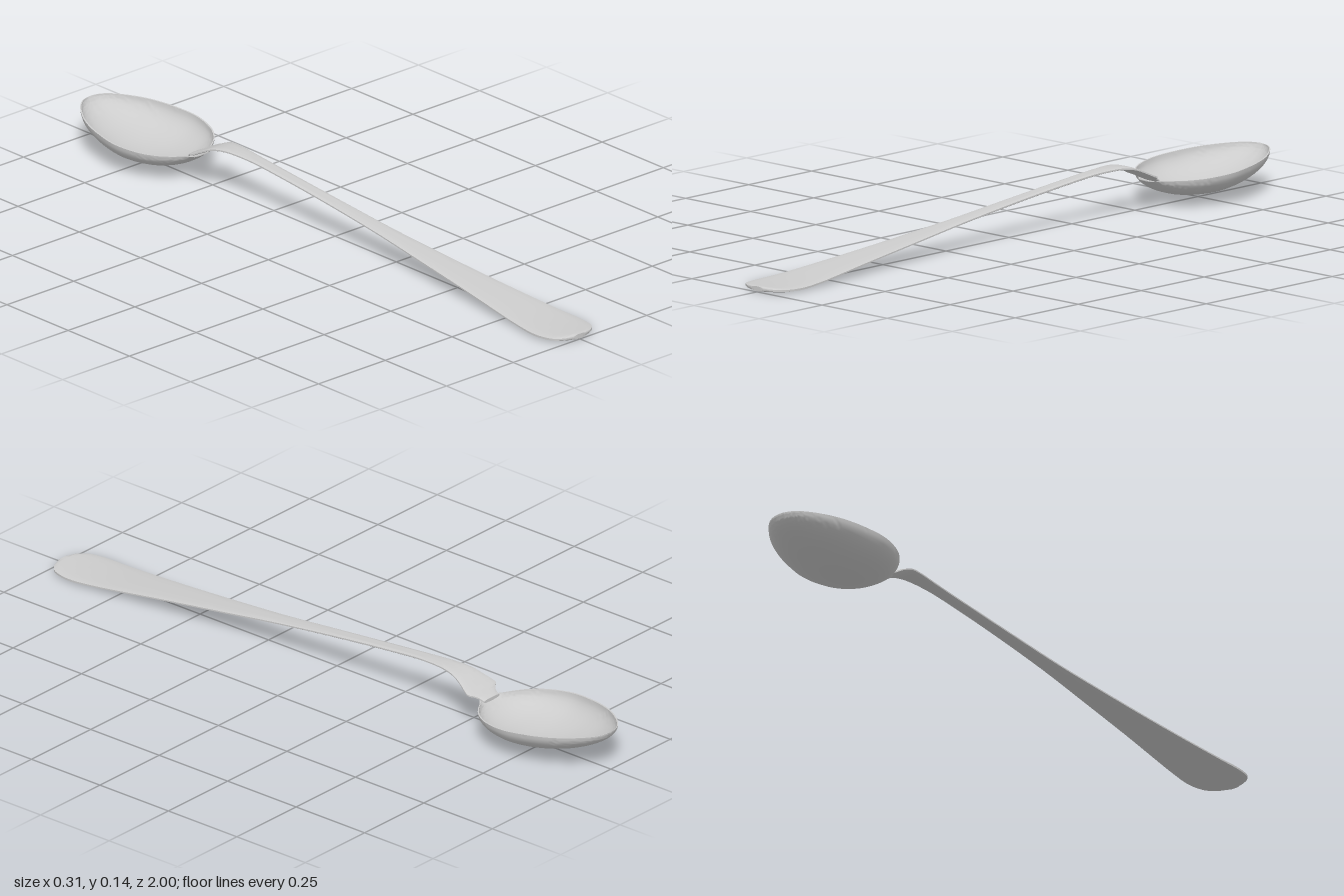
import * as THREE from 'three';
import { toCreasedNormals } from 'three/addons/utils/BufferGeometryUtils.js';

const material = new THREE.MeshStandardMaterial({ color: 0xcccccc, side: THREE.DoubleSide });

// Smooths a list of [width, height, z] stations into many
function smoothStations(list, count) {
  const curve = new THREE.CatmullRomCurve3(list.map((p) => new THREE.Vector3(...p)), false, 'centripetal');
  return curve.getPoints(count);
}

// Skins closed loops (counter-clockwise from the front, ordered front to back) and caps both ends
function loft(loops, creaseAngle) {
  const n = loops[0].length;
  const positions = loops.flat(2);
  const index = [];
  for (let i = 0; i < loops.length - 1; i++) {
    for (let j = 0; j < n; j++) {
      const k = (j + 1) % n;
      const a = i * n + j, b = i * n + k, c = a + n, d = b + n;
      index.push(a, c, b, b, c, d);
    }
  }
  const last = (loops.length - 1) * n;
  for (let j = 0; j < n / 2 - 1; j++) {
    const p = j, q = j + 1, r = n - 1 - j, s = n - 2 - j;
    index.push(p, q, r, q, s, r);
    index.push(last + p, last + r, last + q, last + q, last + r, last + s);
  }
  const geometry = new THREE.BufferGeometry();
  geometry.setAttribute('position', new THREE.Float32BufferAttribute(positions, 3));
  geometry.setIndex(index);
  return toCreasedNormals(geometry, creaseAngle);
}

// Handle: a thin bar that flares at the tip and at the shoulders
function handleGeometry() {
  const stations = smoothStations([
    [0.02, 0.011, 1.0], [0.05, 0.011, 0.99], [0.072, 0.01, 0.97], [0.082, 0.009, 0.94],
    [0.086, 0.009, 0.9], [0.081, 0.013, 0.83], [0.058, 0.036, 0.6], [0.042, 0.057, 0.4],
    [0.028, 0.079, 0.2], [0.022, 0.101, 0], [0.02, 0.121, -0.2], [0.022, 0.132, -0.33],
    [0.031, 0.134, -0.42], [0.04, 0.127, -0.465], [0.051, 0.112, -0.5], [0.058, 0.102, -0.52],
    [0.058, 0.098, -0.53], [0.045, 0.093, -0.54], [0.036, 0.087, -0.55], [0.032, 0.08, -0.565],
  ], 120);
  const sides = 20;
  const loops = stations.map(({ x: w, y, z }) => {
    const half = z > 0.8 ? 0.005 + 0.002 * Math.min(1, (z - 0.8) * 10) : 0.005;
    return Array.from({ length: sides }, (_, j) => {
      const a = ((j + 0.5) / sides) * Math.PI * 2;
      const s = Math.sin(a);
      return [w * Math.cos(a), y + half * Math.sign(s) * Math.sqrt(Math.abs(s)), z];
    });
  });
  return loft(loops, 0.7);
}

// Bowl: an egg-shaped thin shell with a slanted rim; heights here are the keel line
function bowlGeometry() {
  const stations = smoothStations([
    [0.03, 0.076, -0.545], [0.045, 0.065, -0.56], [0.075, 0.051, -0.58], [0.104, 0.038, -0.605],
    [0.132, 0.026, -0.645], [0.148, 0.02, -0.69], [0.155, 0.018, -0.74], [0.148, 0.023, -0.8],
    [0.136, 0.033, -0.85], [0.116, 0.047, -0.9], [0.083, 0.068, -0.95], [0.054, 0.086, -0.98],
    [0.03, 0.1, -0.994], [0.004, 0.113, -1.0],
  ], 64);
  const steps = 24;
  const thickness = 0.005;
  const loops = stations.map(({ x: w, y, z }) => {
    const rim = 0.08 + (-0.55 - z) * 0.078;
    const depth = Math.max(rim - y, 0.002);
    const inset = (v) => Math.max(v - thickness, v * 0.3);
    const arc = (width, drop) => Array.from({ length: steps + 1 }, (_, j) => {
      const a = (j / steps - 0.5) * Math.PI;
      return [width * Math.sin(a), rim - drop * Math.cos(a), z];
    });
    return [...arc(w, depth), ...arc(inset(w), inset(depth)).reverse()];
  });
  return loft(loops, 0.7);
}

export function createModel() {
  const spoon = new THREE.Group();
  spoon.name = 'spoon';
  for (const [name, geometry] of [['handle', handleGeometry()], ['bowl', bowlGeometry()]]) {
    const mesh = new THREE.Mesh(geometry, material);
    mesh.name = name;
    spoon.add(mesh);
  }
  return spoon;
}
